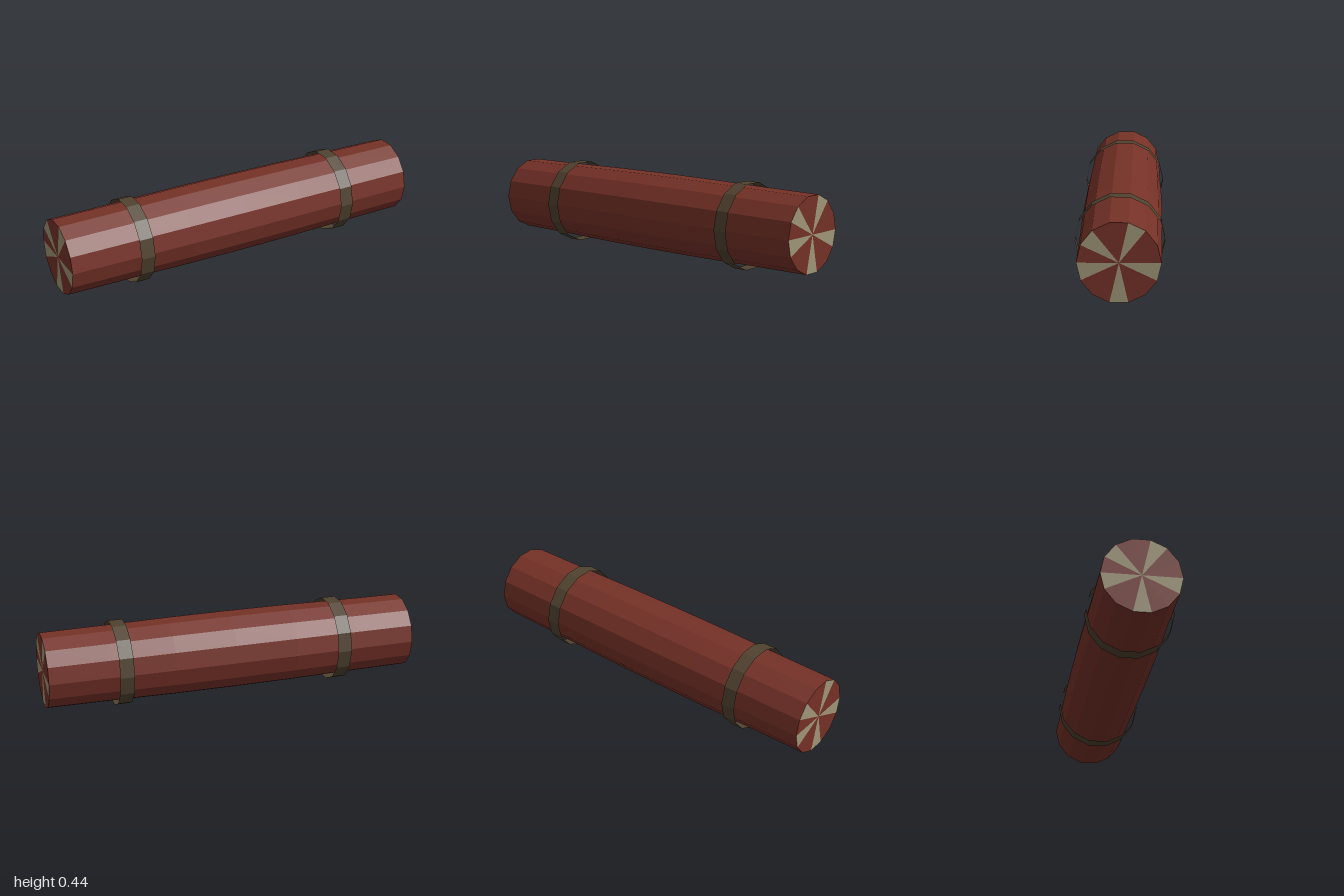
import * as THREE from 'three';

const SIDES = 14;
const END_R = 0.199;
const AXIS_Y = 0.223;

// Radius of the trunk along its length: a slight swell in the middle
const trunkRadius = (x) => END_R + 0.0095 * (1 - THREE.MathUtils.smoothstep(Math.abs(x), 0.1, 1));

// Faceted open tube lying along x
function facetedTube(radius, length, segments) {
  const geo = new THREE.CylinderGeometry(radius, radius, length, SIDES, segments, true);
  geo.rotateZ(-Math.PI / 2);
  return geo;
}

function faceted(geo) {
  const flat = geo.toNonIndexed();
  flat.computeVertexNormals();
  return flat;
}

export function createModel() {
  const bark = new THREE.MeshStandardMaterial({ color: 0x753127 });
  bark.name = 'red bark';
  const pale = new THREE.MeshStandardMaterial({ color: 0x9f9577 });
  pale.name = 'pale wood';
  const strapMat = new THREE.MeshStandardMaterial({ color: 0x50422f, side: THREE.DoubleSide });
  strapMat.name = 'olive strap';

  const model = new THREE.Group();
  model.name = 'log';

  // Trunk
  const trunkGeo = facetedTube(1, 2, 6);
  const p = trunkGeo.attributes.position;
  for (let i = 0; i < p.count; i++) {
    const r = trunkRadius(p.getX(i));
    p.setXYZ(i, p.getX(i), p.getY(i) * r, p.getZ(i) * r);
  }
  const trunk = new THREE.Mesh(faceted(trunkGeo), bark);
  trunk.name = 'trunk';
  trunk.position.set(0, AXIS_Y, -0.003);
  model.add(trunk);

  // Cut ends with pale wedges
  const paleWedges = [2, 5, 7, 10, 13];
  for (const side of [1, -1]) {
    const geo = new THREE.CircleGeometry(END_R, SIDES);
    geo.clearGroups();
    for (let i = 0; i < SIDES; i++) geo.addGroup(i * 3, 3, paleWedges.includes(i) ? 1 : 0);
    geo.rotateY(side * Math.PI / 2);
    const cap = new THREE.Mesh(geo, [bark, pale]);
    cap.name = side > 0 ? 'leftEnd' : 'rightEnd';
    cap.position.set(side, AXIS_Y, -0.003);
    model.add(cap);
  }

  // Loose straps around the trunk
  for (const side of [1, -1]) {
    const geo = facetedTube(0.2225, 0.076, 1);
    geo.scale(1, 1.014, 1);
    const strap = new THREE.Mesh(faceted(geo), strapMat);
    strap.name = side > 0 ? 'leftStrap' : 'rightStrap';
    strap.position.set(side * 0.598, 0.22, 0);
    model.add(strap);
  }

  return model;
}
